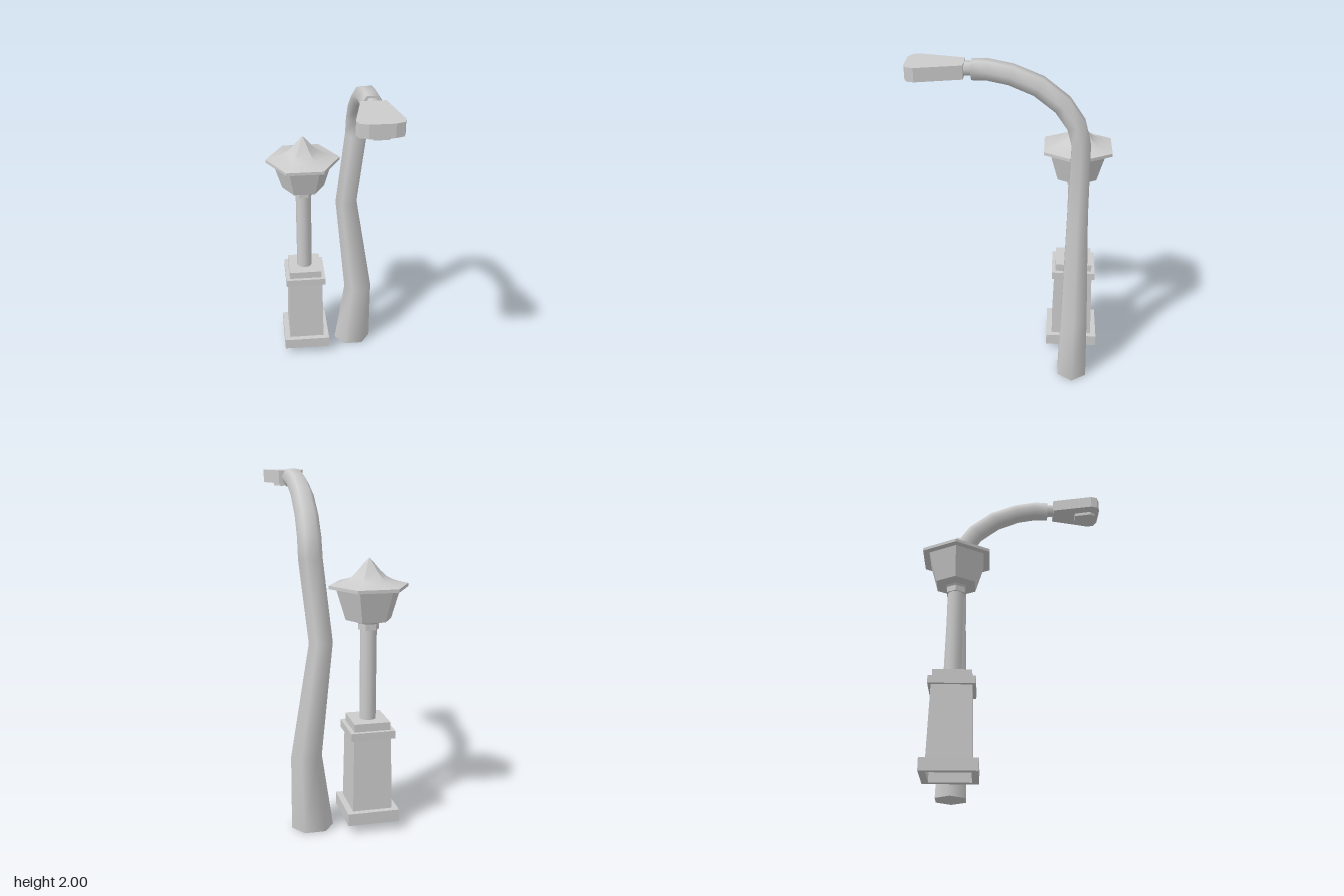
import * as THREE from 'three';
import { toCreasedNormals } from 'three/addons/utils/BufferGeometryUtils.js';

const material = new THREE.MeshStandardMaterial({ color: 0xcccccc });

function add(parent, name, geometry, x = 0, y = 0, z = 0) {
  const mesh = new THREE.Mesh(geometry, material);
  mesh.name = name;
  mesh.position.set(x, y, z);
  parent.add(mesh);
  return mesh;
}

// Box whose top has its own width and depth
function taperedBox(w0, d0, w1, d1, y0, y1) {
  const g = new THREE.BoxGeometry(1, y1 - y0, 1);
  const p = g.attributes.position;
  for (let i = 0; i < p.count; i++) {
    const top = p.getY(i) > 0;
    p.setX(i, p.getX(i) * (top ? w1 : w0));
    p.setZ(i, p.getZ(i) * (top ? d1 : d0));
  }
  g.translate(0, (y0 + y1) / 2, 0);
  g.computeVertexNormals();
  return g;
}

// Turned six-sided profile with corners on the x axis
function hexLathe(profile, crease) {
  const points = profile.map(([r, y]) => new THREE.Vector2(r, y));
  return toCreasedNormals(new THREE.LatheGeometry(points, 6, Math.PI / 2), crease);
}

// Flat outline in x and z, extruded downward from y = 0
function plate(outline, depth, hole) {
  const toPoints = (list) => list.map(([x, z]) => new THREE.Vector2(x, z));
  const shape = new THREE.Shape(toPoints(outline));
  if (hole) shape.holes.push(new THREE.Path(toPoints(hole)));
  return new THREE.ExtrudeGeometry(shape, { depth, bevelEnabled: false }).rotateX(Math.PI / 2);
}

const rectangle = (w, d) => [[-w, -d], [w, -d], [w, d], [-w, d]];

// Smooth six-sided tube through rings [x, y, z, half width, half depth, forward tilt]
function sweptTube(rings) {
  const n = 6, pos = [], index = [];
  const ringPoints = ([x, y, z, rx, rz, t]) => {
    for (let j = 0; j < n; j++) {
      const a = (j / n) * Math.PI * 2;
      const v = (rz * Math.sin(a)) / Math.sin(Math.PI / 3);
      pos.push(x + rx * Math.cos(a), y - v * Math.sin(t), z + v * Math.cos(t));
    }
  };
  rings.forEach(ringPoints);
  for (let i = 0; i < rings.length - 1; i++) {
    for (let j = 0; j < n; j++) {
      const a = i * n + j, b = i * n + ((j + 1) % n);
      index.push(a, a + n, b, b, a + n, b + n);
    }
  }
  // End caps with their own corners
  [rings[0], rings[rings.length - 1]].forEach((ring, end) => {
    const s = pos.length / 3;
    ringPoints(ring);
    for (let j = 1; j < n - 1; j++) {
      if (end) index.push(s, s + j + 1, s + j);
      else index.push(s, s + j, s + j + 1);
    }
  });
  const g = new THREE.BufferGeometry();
  g.setAttribute('position', new THREE.Float32BufferAttribute(pos, 3));
  g.setIndex(index);
  g.computeVertexNormals();
  return g;
}

function createLanternPost() {
  const post = new THREE.Group();
  post.name = 'lanternPost';

  // Stepped pedestal, hollow underneath
  add(post, 'pedestalFoot', plate(rectangle(0.148, 0.158), 0.07, rectangle(0.11, 0.12)), 0, 0.12);
  add(post, 'pedestalBody', taperedBox(0.226, 0.248, 0.214, 0.228, 0.12, 0.54));
  add(post, 'pedestalMoulding', taperedBox(0.254, 0.264, 0.254, 0.264, 0.54, 0.585));
  add(post, 'pedestalCap', taperedBox(0.206, 0.22, 0.206, 0.22, 0.585, 0.63));

  // Slim pole with collar
  add(post, 'lanternPole', new THREE.CylinderGeometry(0.048, 0.048, 0.52, 12), 0, 0.885);
  add(post, 'collar', hexLathe([[0, 1.145], [0.06, 1.145], [0.06, 1.18], [0.078, 1.2], [0, 1.2]], 0.5));

  // Glass housing and flared roof
  add(post, 'lanternGlass', hexLathe([[0, 1.19], [0.075, 1.19], [0.13, 1.2], [0.186, 1.38], [0, 1.38]], 0.3));
  add(post, 'lanternRoof', hexLathe([
    [0, 1.375], [0.226, 1.375], [0.226, 1.393], [0.175, 1.405], [0.135, 1.418],
    [0.1, 1.437], [0.065, 1.469], [0.03, 1.51], [0, 1.54],
  ], 0.55));
  return post;
}

function createStreetLight() {
  const light = new THREE.Group();
  light.name = 'streetLight';

  // Crooked post bending forward into the arm
  add(light, 'curvedPost', sweptTube([
    [0, 0, -0.365, 0.12, 0.086, 0],
    [0.032, 0.43, -0.365, 0.088, 0.076, 0],
    [-0.053, 1.08, -0.365, 0.067, 0.058, 0],
    [0.002, 1.54, -0.367, 0.067, 0.051, 0.1],
    [0.002, 1.655, -0.337, 0.066, 0.051, 0.4],
    [0.001, 1.765, -0.262, 0.065, 0.051, 0.72],
    [0, 1.865, -0.135, 0.064, 0.051, 1.02],
    [0, 1.925, 0.01, 0.063, 0.05, 1.28],
    [0, 1.949, 0.13, 0.062, 0.05, 1.5],
    [0, 1.95, 0.217, 0.061, 0.05, Math.PI / 2],
  ]));
  const neck = new THREE.CylinderGeometry(0.039, 0.039, 0.06, 6, 1, false, Math.PI / 2);
  add(light, 'headNeck', neck.rotateX(Math.PI / 2), 0, 1.955, 0.236);

  // Wedge-shaped lamp head with a lens below
  const half = [[0.067, 0.255], [0.123, 0.5], [0.112, 0.54], [0.066, 0.557]];
  const outline = [...half, ...half.map(([x, z]) => [-x, z]).reverse()];
  add(light, 'lampHead', plate(outline, 0.075), 0, 1.99);
  const lens = [[0.036, 0.4], [0.06, 0.5], [0.038, 0.53], [-0.038, 0.53], [-0.06, 0.5], [-0.036, 0.4]];
  add(light, 'lens', plate(lens, 0.025), 0, 1.92);
  return light;
}

export function createModel() {
  const model = new THREE.Group();
  model.name = 'streetLamps';
  const lantern = createLanternPost();
  lantern.position.set(-0.112, 0, -0.36);
  const street = createStreetLight();
  street.position.x = 0.211;
  model.add(lantern, street);
  return model;
}
